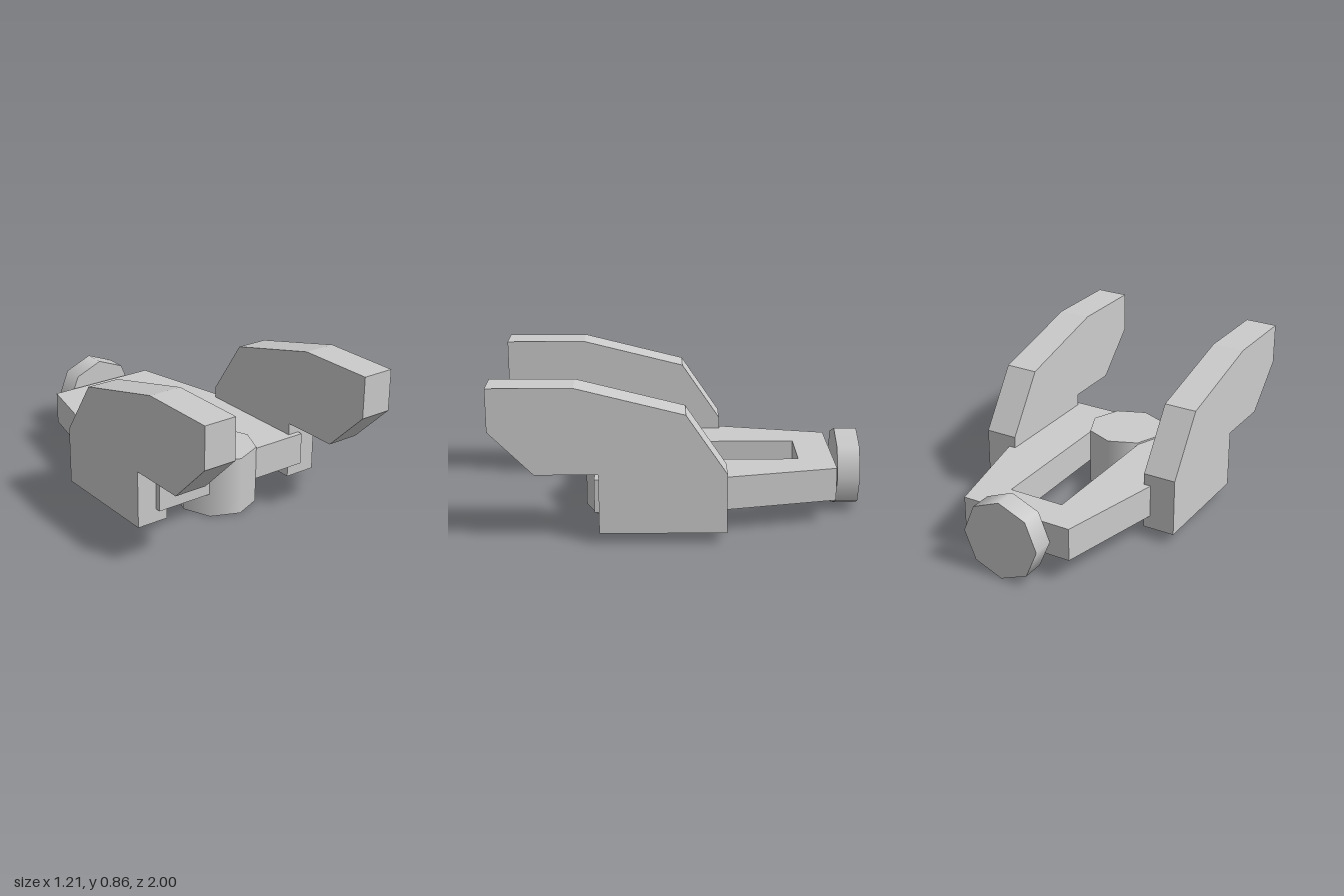
import * as THREE from 'three';

const flat = new THREE.MeshStandardMaterial({ color: 0xcccccc, flatShading: true });
const smooth = new THREE.MeshStandardMaterial({ color: 0xcccccc, side: THREE.DoubleSide });

function extrude(points, depth) {
  const shape = new THREE.Shape(points.map(([a, b]) => new THREE.Vector2(a, b)));
  return new THREE.ExtrudeGeometry(shape, { depth, bevelEnabled: false });
}

export function createModel() {
  const model = new THREE.Group();
  const add = (name, geometry, material) => {
    const mesh = new THREE.Mesh(geometry, material);
    mesh.name = name;
    model.add(mesh);
    return mesh;
  };

  // Forked frame: tapered plate with a slot open at the front, drawn in x, z
  const half = [[0.16, -0.66], [0.16, 0.46], [0.49, 0.46], [0.49, -0.11], [0.325, -0.855]];
  const outline = [...half, ...half.map(([x, z]) => [-x, z]).reverse()];
  add('frame', extrude(outline, 0.185).rotateX(Math.PI / 2).translate(0, 0.32, 0), flat);

  // Side arms: stepped profile in z, y, reaching forward over the frame
  const profile = [
    [1, 0.855], [0.55, 0.855], [-0.025, 0.71], [-0.245, 0.385], [-0.245, 0.06],
    [0.43, 0.06], [0.43, 0.388], [0.765, 0.388], [1, 0.622],
  ];
  for (const [name, outerX] of [['leftArm', 0.605], ['rightArm', -0.42]]) {
    add(name, extrude(profile, 0.185).rotateY(-Math.PI / 2).translate(outerX, 0, 0), flat);
  }

  // Eight-sided pod between the fork ends, open underneath
  add('podWall', new THREE.CylinderGeometry(0.223, 0.223, 0.33, 8, 1, true), smooth)
    .position.set(0, 0.165, 0.306);
  add('podTop', new THREE.CircleGeometry(0.223, 8).rotateX(-Math.PI / 2), smooth)
    .position.set(0, 0.33, 0.306);

  // Rear disc on a short axle
  add('rearDisc', new THREE.CylinderGeometry(0.224, 0.224, 0.125, 8).rotateX(Math.PI / 2), smooth)
    .position.set(0, 0.224, -0.9375);
  add('rearAxle', new THREE.CylinderGeometry(0.05, 0.05, 0.05, 8).rotateX(Math.PI / 2), smooth)
    .position.set(0, 0.224, -0.86);

  return model;
}
